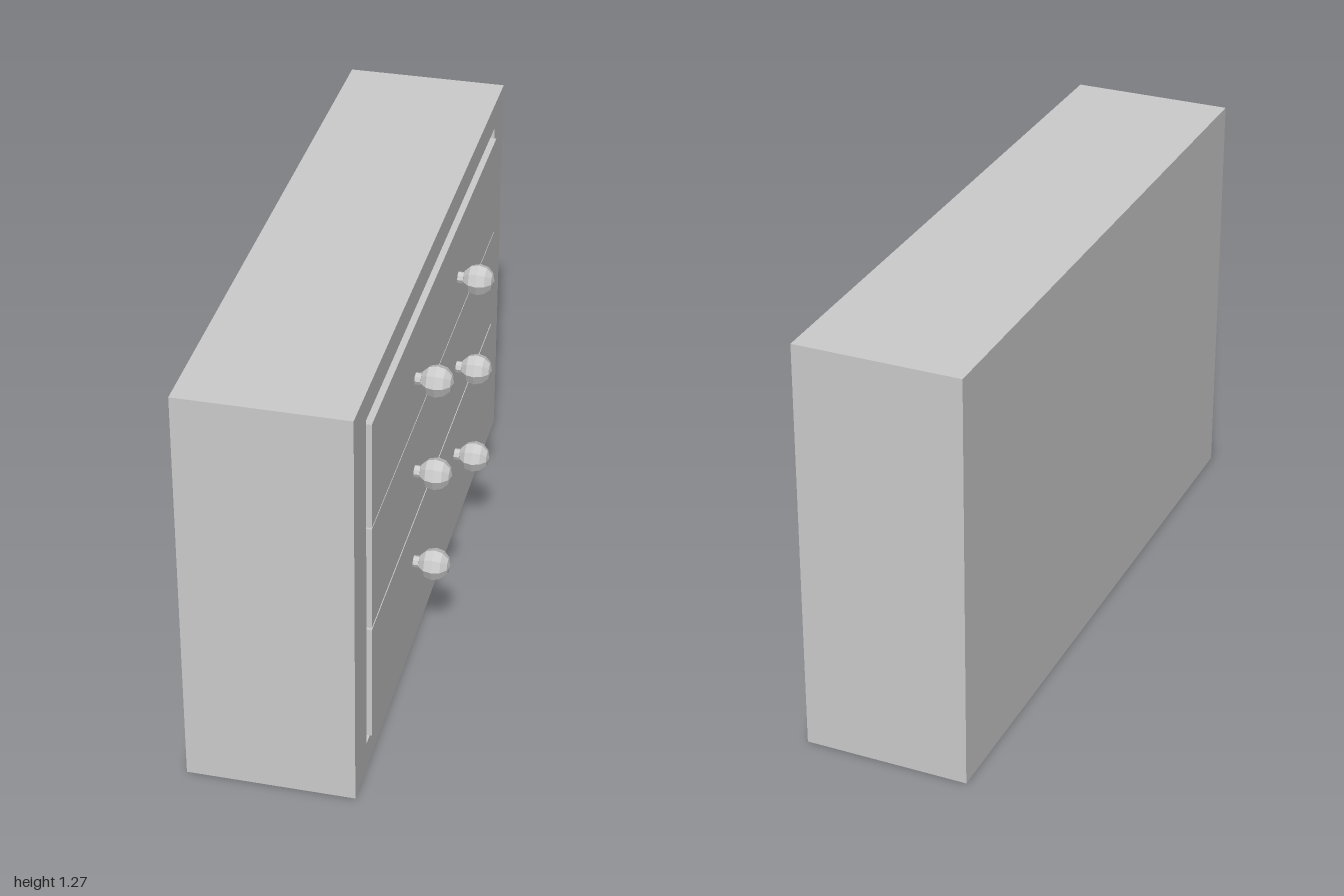
import * as THREE from 'three';

const material = new THREE.MeshStandardMaterial({ color: 0xcccccc, flatShading: true });

function add(parent, name, geometry, x, y, z) {
  const mesh = new THREE.Mesh(geometry, material);
  mesh.name = name;
  mesh.position.set(x, y, z);
  parent.add(mesh);
  return mesh;
}

// Rectangle outline given as corner points
function rectangle(Type, x0, y0, x1, y1) {
  return new Type([[x0, y0], [x1, y0], [x1, y1], [x0, y1]].map(p => new THREE.Vector2(...p)));
}

export function createModel() {
  const model = new THREE.Group();
  model.name = 'chestOfDrawers';
  const back = -0.31, face = 0.185, recessBack = -0.26, drawerFace = 0.195, drawerBack = -0.24;

  // Carcass: a frame open towards +x, closed by a back panel
  const outline = rectangle(THREE.Shape, -1, 0, 1, 1.27);
  outline.holes.push(rectangle(THREE.Path, -0.865, 0.09, 0.862, 1.187));
  const frame = new THREE.ExtrudeGeometry(outline, { depth: face - recessBack, bevelEnabled: false });
  frame.rotateY(Math.PI / 2);
  add(model, 'carcassFrame', frame, recessBack, 0, 0);
  add(model, 'backPanel', new THREE.BoxGeometry(recessBack - back, 1.27, 2), (back + recessBack) / 2, 0.635, 0);

  // Drawers: bottom, top and knob height, each with two knobs
  const drawers = [[0.103, 0.48, 0.337], [0.488, 0.822, 0.66], [0.827, 1.16, 0.977]];
  const stem = new THREE.CylinderGeometry(0.018, 0.018, 0.04, 8).rotateZ(-Math.PI / 2);
  const ball = new THREE.SphereGeometry(0.049, 8, 6).rotateZ(-Math.PI / 2);
  for (const [bottom, top, knobY] of drawers) {
    const drawer = new THREE.Group();
    drawer.name = 'drawer';
    model.add(drawer);
    add(drawer, 'drawerBox', new THREE.BoxGeometry(drawerFace - drawerBack, top - bottom, 1.686),
      (drawerFace + drawerBack) / 2, (bottom + top) / 2, -0.001);
    for (const z of [0.308, -0.277]) {
      add(drawer, 'knobStem', stem, 0.205, knobY, z);
      add(drawer, 'knob', ball, 0.257, knobY, z);
    }
  }
  return model;
}
